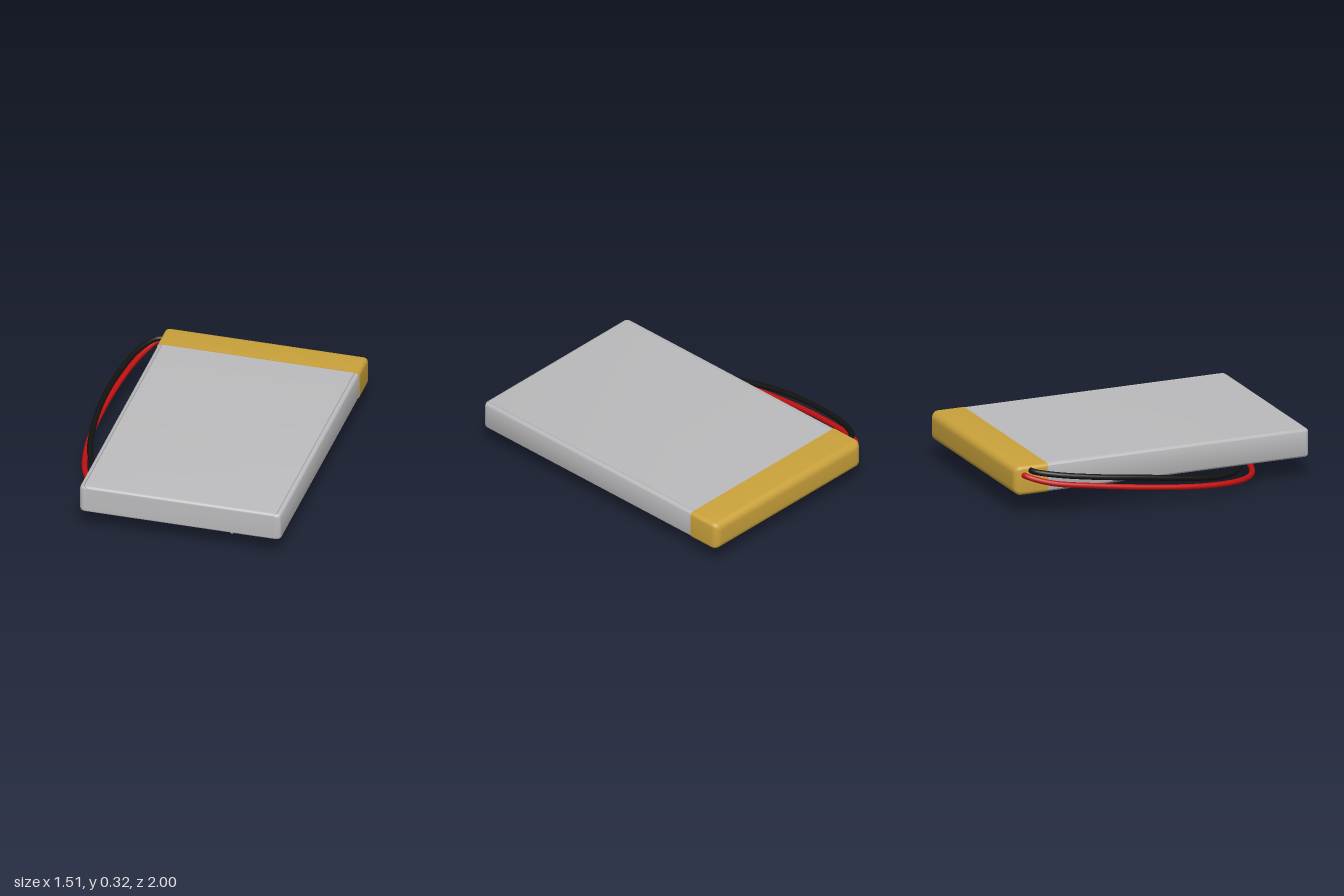
import * as THREE from 'three';
import { toCreasedNormals } from 'three/addons/utils/BufferGeometryUtils.js';

const material = (name, color, side = THREE.FrontSide) => {
  const m = new THREE.MeshStandardMaterial({ color, side });
  m.name = name;
  return m;
};

// Rounded rectangle, counter-clockwise; optional V grooves near both top edges
function section(w, h, r, groove) {
  const pts = [];
  const arc = (cx, cy, start) => {
    for (let i = 0; i <= 6; i++) {
      const a = start + (i / 6) * Math.PI / 2;
      pts.push(new THREE.Vector2(cx + r * Math.cos(a), cy + r * Math.sin(a)));
    }
  };
  const x = w / 2 - r, y = h / 2 - r;
  const notch = (s) => [-1, 0, 1].forEach((k) =>
    pts.push(new THREE.Vector2(s * (w / 2 - r - 0.006) - k * 0.004, h / 2 - (k ? 0 : 0.01))));
  arc(-x, -y, Math.PI);
  arc(x, -y, -Math.PI / 2);
  arc(x, y, 0);
  if (groove) { notch(1); notch(-1); }
  arc(-x, y, Math.PI / 2);
  return pts;
}

// Skin a section through rings [z, insetX, insetY], capped at both ends
function loft(pts, w, h, rings) {
  const pos = [], idx = [], n = pts.length;
  for (const [z, ix, iy] of rings)
    for (const p of pts) pos.push(p.x * (1 - 2 * ix / w), p.y * (1 - 2 * iy / h), z);
  for (let k = 0; k < rings.length - 1; k++)
    for (let i = 0; i < n; i++) {
      const a = k * n + i, b = k * n + (i + 1) % n;
      idx.push(a, b, b + n, a, b + n, a + n);
    }
  const end = (rings.length - 1) * n;
  for (const [a, b, c] of THREE.ShapeUtils.triangulateShape(pts, []))
    idx.push(c, b, a, end + a, end + b, end + c);
  const g = new THREE.BufferGeometry();
  g.setAttribute('position', new THREE.Float32BufferAttribute(pos, 3));
  g.setIndex(idx);
  return toCreasedNormals(g, 0.6);
}

export function createModel() {
  const model = new THREE.Group();
  model.name = 'batteryPack';
  const silver = material('silverFoil', 0xbbbbbd);
  const gold = material('amberTape', 0xcaa23b);
  const red = material('redInsulation', 0xc01010);
  const black = material('blackInsulation', 0x121212);
  const cream = material('creamPlastic', 0xcbcbbb);

  const add = (parent, name, geometry, mat, x = 0, y = 0, z = 0) => {
    const mesh = new THREE.Mesh(geometry, mat);
    mesh.name = name;
    mesh.position.set(x, y, z);
    parent.add(mesh);
    return mesh;
  };
  const steps = [0, 1, 2, 3, 4, 5, 6].map((i) => (i / 6) * Math.PI / 2);

  // Foil pouch, softened at the front end
  const front = steps.map((a) =>
    [0.97 + 0.03 * Math.sin(a), 0.03 * (1 - Math.cos(a)), 0.015 * (1 - Math.cos(a))]);
  add(model, 'pouch', loft(section(1.297, 0.184, 0.022, true), 1.297, 0.184,
    [[-0.78, 0, 0], ...front]), silver, 0.099, 0.227);

  // Tape cap wrapped around the rounded back end
  const back = steps.map((a) =>
    [-0.953 - 0.047 * Math.cos(a), 0.045 * (1 - Math.sin(a)), 0.047 * (1 - Math.sin(a))]);
  add(model, 'tapeCap', loft(section(1.306, 0.188, 0.025, false), 1.306, 0.188,
    [...back, [-0.775, 0, 0]]), gold, 0.099, 0.227);

  // Leads loop out of the tape and back underneath to the plug
  const wire = (name, mat, points) => {
    const curve = new THREE.CatmullRomCurve3(points.map((p) => new THREE.Vector3(...p)));
    add(model, name, new THREE.TubeGeometry(curve, 120, 0.018, 14), mat);
  };
  wire('blackWire', black, [
    [-0.5, 0.29, -0.89], [-0.58, 0.29, -0.885], [-0.66, 0.275, -0.76], [-0.72, 0.245, -0.5],
    [-0.74, 0.21, -0.2], [-0.727, 0.17, 0.05], [-0.67, 0.128, 0.32], [-0.55, 0.102, 0.49],
    [-0.3, 0.085, 0.63], [0, 0.073, 0.68], [0.39, 0.06, 0.69]]);
  wire('redWire', red, [
    [-0.5, 0.27, -0.94], [-0.57, 0.262, -0.932], [-0.65, 0.225, -0.8], [-0.712, 0.185, -0.5],
    [-0.74, 0.14, -0.15], [-0.728, 0.1, 0.2], [-0.66, 0.078, 0.46], [-0.55, 0.07, 0.6],
    [-0.3, 0.065, 0.7], [0, 0.065, 0.735], [0.39, 0.065, 0.742]]);

  // Plug, at the end of the leads
  const plug = new THREE.Group();
  plug.name = 'plug';
  plug.position.z = 0.717;
  model.add(plug);
  const box = (name, x0, x1, y0, y1, z, depth, mat = cream) =>
    add(plug, name, new THREE.BoxGeometry(x1 - x0, y1 - y0, depth), mat,
      (x0 + x1) / 2, (y0 + y1) / 2, z);

  // Housing with two square sockets open toward +x
  const outline = new THREE.Shape([[-0.075, 0.014], [0.075, 0.014], [0.075, 0.078], [-0.075, 0.078]]
    .map((p) => new THREE.Vector2(...p)));
  for (const c of [-0.026, 0.026])
    outline.holes.push(new THREE.Path([[-1, -1], [-1, 1], [1, 1], [1, -1]]
      .map(([u, v]) => new THREE.Vector2(c + u * 0.013, 0.052 + v * 0.01))));
  const housing = new THREE.ExtrudeGeometry(outline, { depth: 0.155, bevelEnabled: false });
  housing.rotateY(Math.PI / 2);
  add(plug, 'housing', housing, cream, 0.385);
  box('redContact', 0.386, 0.53, 0.044, 0.06, 0.026, 0.024, red);
  box('blackContact', 0.386, 0.53, 0.044, 0.06, -0.026, 0.024, black);

  // Flange, top shelf with its shadow gap, grips and keying tab
  box('flange', 0.37, 0.388, 0.014, 0.124, 0, 0.165);
  box('topWall', 0.388, 0.52, 0.078, 0.086, 0, 0.13, black);
  box('topShelf', 0.388, 0.544, 0.086, 0.11, 0, 0.15);
  for (const s of [-1, 1]) box('sideRail', 0.388, 0.535, 0.076, 0.088, s * 0.07, 0.01);
  for (const z of [-0.045, 0, 0.045]) box('gripRib', 0.37, 0.392, 0.105, 0.121, z, 0.025);
  box('keyTab', 0.49, 0.525, 0, 0.016, 0, 0.04);
  return model;
}
